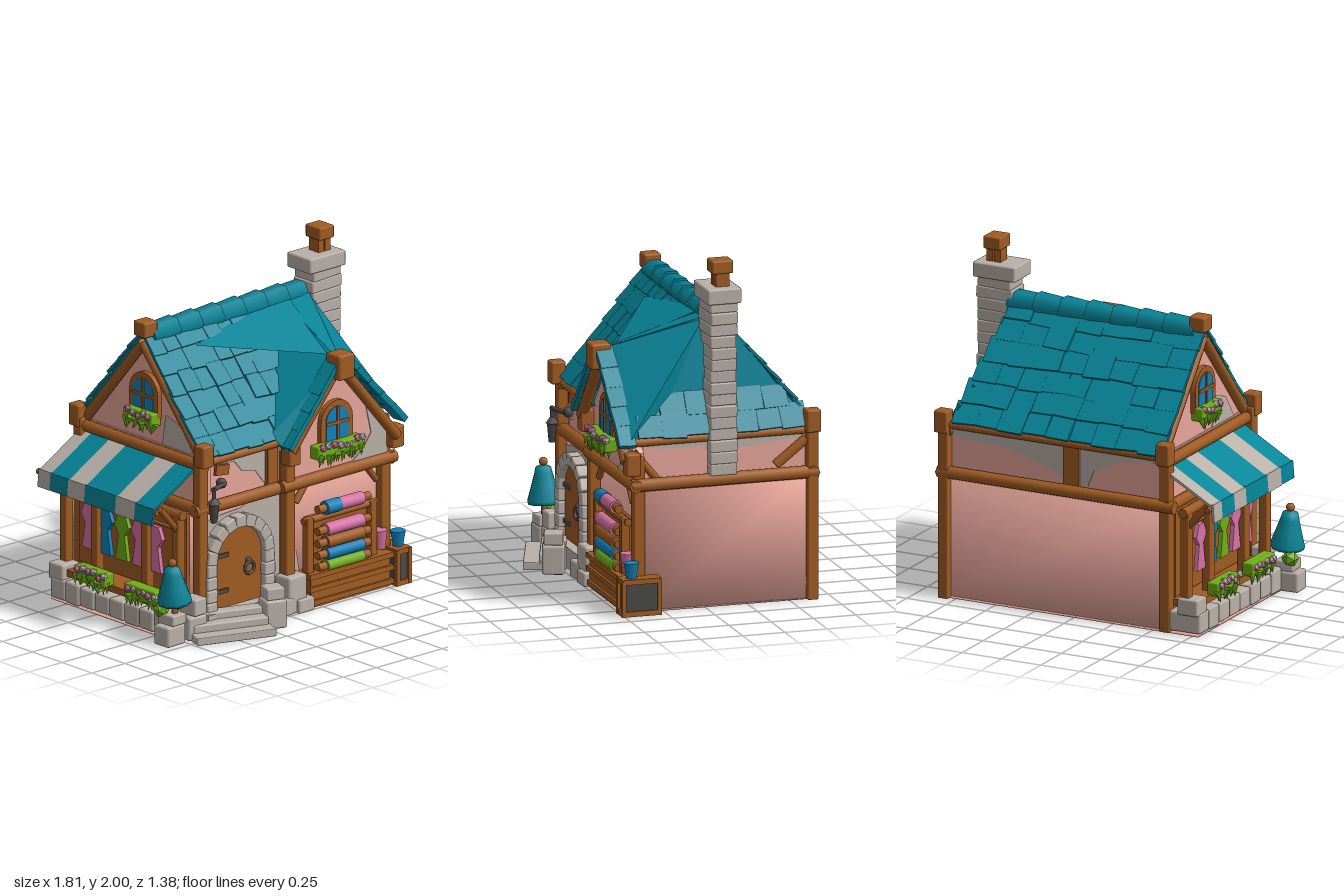
import * as THREE from 'three';
import { RoundedBoxGeometry } from 'three/addons/geometries/RoundedBoxGeometry.js';
import { mergeVertices } from 'three/addons/utils/BufferGeometryUtils.js';

const mat = (name, color, side = THREE.FrontSide) => Object.assign(new THREE.MeshStandardMaterial({ color, side }), { name });
const V = (x, y, z) => new THREE.Vector3(x, y, z);

export function createModel() {
  const root = new THREE.Group();
  root.name = 'tailorCottage';
  const teal = mat('tealTiles', 0x058599, THREE.DoubleSide), wood = mat('wood', 0xa05b22), pink = mat('pinkPlaster', 0xf0aca0),
    stone = mat('stone', 0xb9b0a8), metal = mat('darkMetal', 0x4c4a48), green = mat('leafGreen', 0x6fae16),
    blue = mat('blueCloth', 0x1280b8), rose = mat('roseCloth', 0xd672a4);
  let seed = 7;
  const rnd = (a = 0, b = 1) => { seed = (seed * 16807) % 2147483647; return a + (b - a) * seed / 2147483647; };

  const put = (name, geo, m, p = [0, 0, 0], r = [0, 0, 0], parent = root) => {
    const o = new THREE.Mesh(geo, m);
    o.name = name; o.position.set(...p); o.rotation.set(...r); parent.add(o);
    return o;
  };
  const box = (name, m, s, p, r, parent) => put(name, new THREE.BoxGeometry(...s), m, p, r, parent);
  const block = (name, m, s, p, r, parent) => put(name, new RoundedBoxGeometry(...s, 1, Math.min(...s) * 0.12), m, p, r, parent);
  // Box whose corners share one smooth normal
  const softBox = (name, m, s, p) => {
    const geo = new THREE.BoxGeometry(...s).deleteAttribute('normal').deleteAttribute('uv'), merged = mergeVertices(geo);
    merged.computeVertexNormals();
    return put(name, merged, m, p);
  };
  const log = (name, a, b, r = 0.03, m = wood, parent = root, sides = 8) => {
    const d = V(...b).sub(V(...a)), o = put(name, new THREE.CylinderGeometry(r, r, d.length(), sides), m, V(...a).addScaledVector(d, 0.5).toArray(), [0, 0, 0], parent);
    o.quaternion.setFromUnitVectors(V(0, 1, 0), d.normalize());
    return o;
  };
  const slab = (name, m, pts, depth, p, r, parent) =>
    put(name, new THREE.ExtrudeGeometry(new THREE.Shape(pts.map(q => new THREE.Vector2(...q))), { depth, bevelEnabled: false }), m, p, r, parent);
  const archPts = (w, base, spring, n = 12) => {
    const pts = [[-w, base], [w, base]];
    for (let i = 0; i <= n; i++) pts.push([w * Math.cos(Math.PI * i / n), spring + w * Math.sin(Math.PI * i / n)]);
    return pts;
  };

  // Floor and walls
  softBox('floor', pink, [1.61, 0.01, 1.02], [0.015, 0.005, -0.12]);
  softBox('lowerWalls', pink, [1.41, 0.735, 0.99], [0.115, 0.3725, -0.125]);
  box('upperWalls', pink, [1.34, 0.3, 0.97], [0.13, 0.87, -0.125]);
  slab('frontGableWall', pink, [[0.03, 0.76], [0.81, 0.76], [0.81, 0.92], [0.39, 1.39], [0.03, 0.97]], 0.06, [0, 0, 0.36]);
  slab('sideGableWall', pink, [[-0.6, 0.8], [0.37, 0.8], [0.37, 1.02], [-0.12, 1.6], [-0.6, 1.02]], 0.05, [-0.48, 0, 0], [0, -Math.PI / 2, 0]);

  // Bare plaster patches
  const patch = (pts, p, ry = 0) => slab('plasterPatch', stone, pts, 0.005, p, [0, ry, 0]);
  patch([[-0.6, 0.1], [0.03, 0.1], [0.03, 0.7], [-0.15, 0.7], [-0.28, 0.67], [-0.45, 0.66], [-0.6, 0.63]], [0, 0, 0.371]);
  patch([[-0.53, 0.97], [-0.3, 0.95], [-0.24, 0.88], [-0.14, 0.86], [-0.08, 0.78], [-0.04, 0.78], [-0.04, 1], [-0.53, 1]], [0, 0, 0.361]);
  patch([[0.53, 0.77], [0.8, 0.77], [0.8, 0.9], [0.64, 1.09], [0.68, 0.92], [0.62, 0.84]], [0, 0, 0.421]);
  patch([[0.09, 0.2], [0.18, 0.2], [0.16, 0.32], [0.12, 0.36], [0.14, 0.5], [0.09, 0.52]], [0, 0, 0.371]);
  patch([[-0.35, 0.97], [-0.3, 0.94], [0, 0.93], [0.25, 0.91], [0.56, 0.94], [0.56, 1], [-0.35, 1]], [0.801, 0, 0], Math.PI / 2);
  patch([[-0.78, 0.95], [-0.4, 0.93], [-0.12, 0.84], [-0.07, 0.78], [0.08, 0.78], [0.12, 0.88], [0.3, 0.96], [0.5, 0.98], [0.5, 1.01], [-0.78, 1.01]], [0, 0, -0.611], Math.PI);
  patch([[0.02, 1.02], [0.28, 1.02], [0.18, 1.16], [0.05, 1.2]], [-0.531, 0, 0], -Math.PI / 2);

  // Roof: base plane plus rows of uneven tiles; corners run top left, top right, bottom right, bottom left
  const roofPlane = (name, [a, b, c, d], rows = 0, cols = 0) => {
    const g = new THREE.Group(); g.name = name; root.add(g);
    const [A, B, C, D] = [a, b, c, d].map(q => V(...q));
    const geo = new THREE.BufferGeometry().setFromPoints([D, C, B, D, B, A]);
    geo.computeVertexNormals();
    put('roofBase', geo, teal, [0, 0, 0], [0, 0, 0], g);
    for (let i = 0; i < rows; i++) {
      const t = (i + 0.5) / rows, L = A.clone().lerp(D, t), R = B.clone().lerp(C, t);
      const u = R.clone().sub(L), w = u.length(), n = Math.max(1, Math.round(cols * w / C.distanceTo(D)));
      u.normalize();
      const v = A.clone().add(B).sub(C).sub(D).multiplyScalar(0.5), h = v.length() / rows;
      v.addScaledVector(u, -v.dot(u)).normalize();
      const norm = u.clone().cross(v);
      for (let j = 0; j < n; j++) {
        const o = box('roofTile', teal, [w / n * rnd(0.95, 1.08), h * rnd(1.05, 1.3), 0.016], [0, 0, 0], [0, 0, 0], g);
        o.quaternion.setFromRotationMatrix(new THREE.Matrix4().makeBasis(u, v, norm));
        o.position.copy(L).lerp(R, (j + 0.5) / n).addScaledVector(norm, rnd(0.004, 0.018));
        o.rotateX(-0.07); o.rotateZ(rnd(-0.06, 0.06));
      }
    }
  };
  roofPlane('mainRoofFront', [[-0.57, 1.65, -0.12], [0.62, 1.65, -0.12], [0.06, 1.03, 0.39], [-0.57, 1.03, 0.39]], 6, 6);
  roofPlane('mainRoofBack', [[0.64, 1.65, -0.12], [-0.57, 1.65, -0.12], [-0.57, 1.04, -0.635], [0.78, 1.04, -0.635]], 6, 9);
  roofPlane('hipUpper', [[0.65, 1.64, -0.04], [0.65, 1.64, -0.16], [0.71, 1.22, -0.47], [0.71, 1.22, 0.17]]);
  roofPlane('hipSkirt', [[0.71, 1.22, 0.17], [0.71, 1.22, -0.47], [0.8, 1.01, -0.64], [0.83, 1.01, 0.47]], 2, 8);
  roofPlane('dormerLeft', [[0.46, 1.63, -0.09], [0.39, 1.43, 0.49], [-0.01, 0.97, 0.49], [-0.04, 1.05, 0.38]]);
  roofPlane('dormerRight', [[0.39, 1.43, 0.49], [0.64, 1.63, -0.05], [0.72, 1.2, 0.18], [0.87, 0.96, 0.49]]);
  roofPlane('dormerFillet', [[0.1, 1.6, -0.07], [0.5, 1.65, -0.09], [0.39, 1.44, 0.4], [-0.27, 1.54, 0]]);
  roofPlane('dormerTop', [[0.46, 1.63, -0.1], [0.64, 1.64, -0.05], [0.39, 1.43, 0.49], [0.38, 1.43, 0.49]]);
  // Tiles along the dormer edges
  for (let i = 0; i < 5; i++) {
    const t = (i + 0.5) / 5;
    box('dormerEdgeTile', teal, [0.14, 0.03, 0.1], [0.37 - 0.37 * t, 1.445 - 0.45 * t, 0.47], [rnd(-0.06, 0.06), 0, 0.86 + rnd(-0.04, 0.04)]);
    box('dormerEdgeTile', teal, [0.15, 0.035, 0.1], [0.425 + 0.43 * t, 1.445 - 0.46 * t, 0.47], [rnd(-0.06, 0.06), 0, -0.8 + rnd(-0.04, 0.04)]);
  }
  // Ridge caps
  for (let i = 0; i < 7; i++)
    put('ridgeTile', new THREE.CylinderGeometry(0.065, 0.075, 0.19, 6), teal, [-0.42 + i * 0.165, 1.63, -0.12], [0, 0, Math.PI / 2 + rnd(-0.02, 0.05)]);

  // Timber frame
  log('frontBeam', [-0.63, 0.73, 0.39], [0.06, 0.73, 0.39], 0.038);
  log('frontBeam', [0, 0.74, 0.42], [0.86, 0.74, 0.42], 0.038);
  log('rightBeam', [0.83, 0.74, 0.44], [0.83, 0.74, -0.66], 0.038);
  log('backBeam', [0.86, 0.74, -0.63], [-0.64, 0.74, -0.63], 0.038);
  log('leftBeam', [-0.6, 0.74, -0.65], [-0.6, 0.74, 0.4], 0.035);
  log('leftUpperBeam', [-0.57, 0.99, -0.64], [-0.57, 0.99, 0.42], 0.035);
  log('frontEaveBeam', [-0.58, 1, 0.39], [0.03, 1, 0.39], 0.025);
  log('rightEaveBeam', [0.8, 0.98, 0.42], [0.8, 0.98, -0.64], 0.025);
  log('backEaveBeam', [0.82, 1.02, -0.62], [-0.58, 1.02, -0.62], 0.025);
  for (const z of [0.37, -0.6]) log('gableBargeBeam', [-0.55, 1.59, -0.12], [-0.55, 1.03, z], 0.03);
  log('dormerBargeBeam', [0.39, 1.4, 0.47], [0.03, 0.96, 0.47], 0.034);
  log('dormerBargeBeam', [0.39, 1.4, 0.47], [0.83, 0.88, 0.47], 0.034);
  block('ridgeEndBlock', wood, [0.1, 0.09, 0.1], [-0.535, 1.675, -0.12]);
  block('dormerPeakBlock', wood, [0.12, 0.15, 0.12], [0.39, 1.4, 0.49]);
  for (const [x, y, z] of [[-0.58, 1.06, 0.42], [0.84, 0.87, 0.44], [0.83, 1.04, -0.63], [-0.58, 1.05, -0.63], [0.05, 0.94, 0.45]])
    block('cornerBlock', wood, [0.085, 0.13, 0.085], [x, y, z]);
  for (const [x, z, y0, y1] of [[-0.58, 0.39, 0.1, 1.05], [0.06, 0.41, 0.15, 0.95], [0.8, 0.39, 0, 0.9], [0.82, -0.63, 0, 1.06], [-0.58, -0.61, 0, 1.04]])
    block('post', wood, [0.065, y1 - y0, 0.065], [x, (y0 + y1) / 2, z]);
  block('shortPost', wood, [0.08, 0.26, 0.03], [-0.03, 0.87, 0.375]);
  box('backShortPost', wood, [0.1, 0.26, 0.03], [0.02, 0.88, -0.615]);
  log('brace', [0.81, 0.76, 0.28], [0.81, 0.93, 0.42], 0.022);
  log('brace', [0.81, 0.79, -0.42], [0.81, 0.93, -0.6], 0.03);
  for (const x of [0.13, 0.74]) log('frontBrace', [x, 0.62, 0.4], [x + (x < 0.4 ? 0.08 : -0.08), 0.72, 0.4], 0.02);
  block('plank', wood, [0.1, 0.06, 0.02], [-0.41, 0.93, 0.38], [0, 0, -0.12]);

  // Chimney
  for (let i = 0; i < 15; i++) {
    const w = i > 10 ? 0.22 : 0.15;
    block('chimneyStone', stone, [w + rnd(-0.015, 0.015), 0.068, 0.16 + rnd(-0.01, 0.01)], [0.86 - w / 2, 0.8 + i * 0.067, -0.1], [0, rnd(-0.04, 0.04), rnd(-0.04, 0.04)]);
  }
  block('chimneyCap', stone, [0.27, 0.09, 0.2], [0.74, 1.805, -0.1]);
  for (const x of [0.745, 0.795]) box('chimneyNeck', wood, [0.04, 0.1, 0.08], [x, 1.88, -0.105]);
  block('chimneyPot', wood, [0.11, 0.075, 0.125], [0.77, 1.9625, -0.105]);

  // Flower boxes and arched windows, facing +z inside their own group
  const group = (name, p, ry = 0) => { const g = new THREE.Group(); g.name = name; g.position.set(...p); g.rotation.y = ry; root.add(g); return g; };
  const flowerBox = (p, ry, len) => {
    const g = group('flowerBox', p, ry), n = Math.round(len * 45);
    block('foliage', green, [len, 0.08, 0.075], [0, 0, 0.04], undefined, g);
    for (let i = 0; i < n; i++) {
      const x = len * ((i + 0.5) / n - 0.5);
      put('leaf', new THREE.ConeGeometry(0.024, 0.07, 4), green, [x, -0.045 + rnd(-0.012, 0.012), rnd(0.05, 0.08)], [Math.PI + rnd(-0.3, 0.2), 0, rnd(-0.5, 0.5)], g);
      if (i % 2) put('blossom', new THREE.IcosahedronGeometry(0.025, 0), [rose, stone, rose, stone][(i >> 1) % 4], [x, rnd(0, 0.035), rnd(0.065, 0.08)], undefined, g);
    }
  };
  const archWindow = (p, ry) => {
    const g = group('archWindow', p, ry);
    slab('windowFrame', wood, archPts(0.12, 0, 0.13), 0.03, [0, 0, 0], undefined, g);
    slab('windowGlass', blue, archPts(0.085, 0.01, 0.13), 0.006, [0, 0, 0.029], undefined, g);
    box('mullion', wood, [0.018, 0.21, 0.012], [0, 0.11, 0.036], undefined, g);
    box('mullion', wood, [0.17, 0.018, 0.012], [0, 0.12, 0.036], undefined, g);
  };
  archWindow([0.4, 0.93, 0.42], 0);
  flowerBox([0.385, 0.91, 0.43], 0, 0.35);
  archWindow([-0.53, 1.17, -0.11], -Math.PI / 2);
  flowerBox([-0.53, 1.165, -0.11], -Math.PI / 2, 0.24);

  // Door with stone surround
  const door = group('door', [-0.31, 0, 0.37]);
  slab('doorLeaf', wood, archPts(0.185, 0.1, 0.4), 0.03, [0, 0, 0], undefined, door);
  for (let i = 0; i < 9; i++) {
    const a = Math.PI * (i + 0.5) / 9;
    block('archStone', stone, [0.07, 0.076, 0.09], [0.215 * Math.cos(a), 0.4 + 0.215 * Math.sin(a), 0.025], [0, 0, a], door);
  }
  for (const s of [-1, 1]) for (let i = 0; i < 4; i++)
    block('jambStone', stone, [0.07 + rnd(0, 0.015), 0.073, 0.09], [s * 0.217, 0.14 + i * 0.075, 0.025], [0, 0, rnd(-0.05, 0.05)], door);
  for (const y of [0.22, 0.43]) box('hinge', metal, [0.1, 0.025, 0.015], [-0.125, y, 0.035], undefined, door);
  put('doorRing', new THREE.TorusGeometry(0.035, 0.01, 6, 14), metal, [0.08, 0.32, 0.045], undefined, door);
  put('ringPlate', new THREE.IcosahedronGeometry(0.02, 1), metal, [0.08, 0.36, 0.035], undefined, door);

  // Steps and foundation stones
  const steps = group('steps', [-0.47, 0, 0.5], -0.35);
  [[0.48, 0.045, 0.24, 0.02], [0.46, 0.09, 0.14, -0.02], [0.44, 0.13, 0.08, -0.06]].forEach(([w, h, d, z]) =>
    block('step', stone, [w, h, d], [0, h / 2, z], undefined, steps));
  box('doorLanding', stone, [0.5, 0.12, 0.1], [-0.33, 0.06, 0.41]);
  block('stepPillar', stone, [0.13, 0.17, 0.13], [-0.19, 0.085, 0.565], [0, -0.35, 0]);
  block('stepPillarCap', stone, [0.11, 0.07, 0.11], [-0.19, 0.205, 0.565], [0, -0.35, 0]);
  for (const [x, y, z, w, h] of [[-0.66, 0.07, 0.41, 0.13, 0.14], [-0.65, 0.19, 0.41, 0.1, 0.1], [0.07, 0.11, 0.43, 0.14, 0.22], [-0.03, 0.05, 0.44, 0.14, 0.1], [0.12, 0.04, 0.45, 0.12, 0.08],
    [-0.83, 0.06, 0.41, 0.14, 0.12], [-0.81, 0.15, 0.41, 0.11, 0.06]])
    block('foundationStone', stone, [w, h, 0.12], [x, y, z], [0, rnd(-0.1, 0.1), 0]);
  for (let i = 0; i < 8; i++)
    block('bayStone', stone, [0.2, rnd(0.11, 0.15), 0.122], [-0.7, 0.075, -0.57 + i * 0.124], [0, rnd(-0.06, 0.06), 0]);
  block('bayCornerStone', stone, [0.13, 0.1, 0.12], [-0.73, 0.17, -0.59]);

  // Shop bay on the left side
  box('bayBackPanel', wood, [0.02, 0.5, 0.9], [-0.61, 0.45, -0.13]);
  box('baySill', wood, [0.16, 0.04, 0.92], [-0.68, 0.17, -0.13]);
  for (const z of [-0.6, -0.34, 0.08, 0.34]) {
    block('bayPost', wood, [0.055, 0.56, 0.055], [-0.7, 0.45, z]);
    if (Math.abs(z + 0.13) > 0.4) log('awningBracket', [-0.7, 0.62, z], [-0.84, 0.78, z], 0.02);
  }
  log('bayHeader', [-0.7, 0.72, -0.65], [-0.7, 0.72, 0.38], 0.03);
  log('clothesRail', [-0.68, 0.62, -0.58], [-0.68, 0.62, 0.32], 0.012);
  [rose, blue, green, rose, rose].forEach((m, i) => {
    const g = group('hangingGarment', [-0.675, 0.6, -0.42 + i * 0.14], -Math.PI / 2);
    slab('garment', m, [[-0.05, -0.27], [0.05, -0.27], [0.025, -0.12], [0.06, -0.07], [0.03, 0], [-0.03, 0], [-0.06, -0.07], [-0.025, -0.12]], 0.025, [0, 0, 0], undefined, g);
  });
  for (const z of [-0.29, 0.13]) flowerBox([-0.73, 0.22, z], -Math.PI / 2, 0.26);

  // Striped awning with hanging flaps
  const edges = [-0.63, -0.53, -0.38, -0.24, 0.02, 0.18, 0.33];
  for (let i = 0; i < 6; i++) {
    const z = (edges[i] + edges[i + 1]) / 2, w = edges[i + 1] - edges[i], m = i % 2 ? teal : stone;
    box('awningStripe', m, [0.38, 0.015, w], [-0.715, 0.87, z], [0, 0, 0.52]);
    box('awningFlap', m, [0.014, 0.09 + rnd(0, 0.02), w], [-0.882, 0.74, z], [0, 0, -0.08]);
  }
  log('awningRail', [-0.86, 0.765, -0.66], [-0.86, 0.765, 0.34], 0.018);

  // Dress stand
  const dress = [[0.085, 0.02], [0.095, 0], [0.1, 0.02], [0.075, 0.1], [0.055, 0.17], [0.045, 0.21], [0, 0.23]].map(q => new THREE.Vector2(...q));
  put('standDress', new THREE.LatheGeometry(dress, 10), teal, [-0.8, 0.24, 0.42], [0, 0, 0.1]);
  log('standPole', [-0.8, 0.15, 0.42], [-0.82, 0.49, 0.42], 0.018);
  put('standKnob', new THREE.IcosahedronGeometry(0.026, 1), wood, [-0.82, 0.48, 0.42]);
  put('shrub', new THREE.IcosahedronGeometry(0.05, 0), green, [-0.85, 0.2, 0.36]);

  // Lantern on its arm
  log('lanternArm', [-0.55, 0.86, 0.46], [-0.42, 0.86, 0.42], 0.014, metal);
  put('armBoss', new THREE.IcosahedronGeometry(0.032, 1), metal, [-0.43, 0.86, 0.4]);
  log('lanternHook', [-0.54, 0.87, 0.46], [-0.54, 0.8, 0.46], 0.012, metal);
  put('lanternRoof', new THREE.ConeGeometry(0.04, 0.05, 6), metal, [-0.54, 0.8, 0.46]);
  put('lanternBody', new THREE.CylinderGeometry(0.03, 0.02, 0.11, 6), metal, [-0.54, 0.72, 0.46]);

  // Fabric counter with rolls
  box('counter', wood, [0.6, 0.18, 0.11], [0.48, 0.09, 0.42]);
  for (const y of [0.03, 0.11, 0.185]) box('counterPlank', wood, [0.63, 0.03, 0.13], [0.48, y, 0.425]);
  for (const x of [0.2, 0.68]) block('rackPost', wood, [0.045, 0.36, 0.05], [x, 0.34, 0.43]);
  log('rackBar', [0.17, 0.5, 0.42], [0.72, 0.5, 0.42], 0.022);
  box('rackBack', wood, [0.45, 0.32, 0.02], [0.44, 0.35, 0.385]);
  [[0.56, rose], [0.43, rose], [0.357, wood], [0.287, blue], [0.217, green]].forEach(([y, m]) => {
    log('rollCore', [0.25, y, 0.45], [0.64, y, 0.45], 0.026);
    log('fabricRoll', [0.31, y, 0.45], [0.585, y, 0.45], 0.038, m, root, 10);
  });
  log('rollBand', [0.305, 0.56, 0.45], [0.41, 0.56, 0.45], 0.041, blue, root, 10);

  // Corner crate with pots
  box('crateFill', metal, [0.09, 0.19, 0.2], [0.85, 0.1, 0.4]);
  for (const y of [0.015, 0.2]) box('crateRim', wood, [0.11, 0.03, 0.23], [0.85, y, 0.4]);
  for (const x of [0.805, 0.895]) for (const z of [0.295, 0.505]) box('cratePost', wood, [0.025, 0.21, 0.025], [x, 0.105, z]);
  put('bluePot', new THREE.CylinderGeometry(0.045, 0.03, 0.09, 10), blue, [0.86, 0.26, 0.45]);
  put('rosePot', new THREE.CylinderGeometry(0.045, 0.032, 0.11, 10), rose, [0.74, 0.275, 0.43]);
  return root;
}
